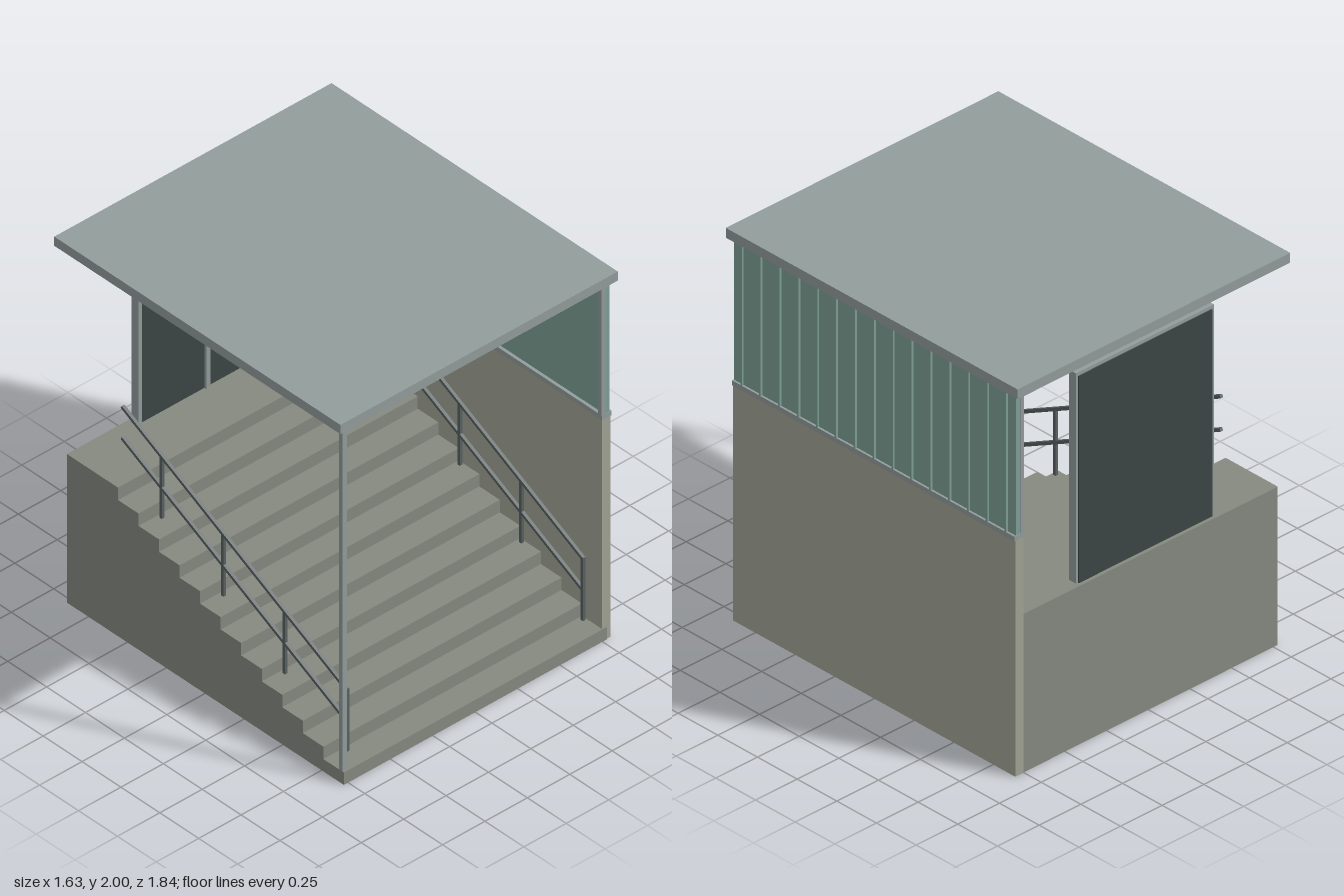
import * as THREE from 'three';

const mat = (color) => new THREE.MeshStandardMaterial({ color });

export function createModel() {
  const model = new THREE.Group();
  const steel = mat(0x929d9b), concrete = mat(0x868980), plaster = mat(0xa1a394);
  const cladding = mat(0x7f9f95), glass = mat(0x3b4644), railMat = mat(0x586161);

  // Box from its lower and upper corners
  const box = (name, [x0, y0, z0], [x1, y1, z1], material, parent = model) => {
    const mesh = new THREE.Mesh(new THREE.BoxGeometry(x1 - x0, y1 - y0, z1 - z0), material);
    mesh.position.set((x0 + x1) / 2, (y0 + y1) / 2, (z0 + z1) / 2);
    mesh.name = name;
    parent.add(mesh);
    return mesh;
  };

  // Stairs and landing: stepped side profile extruded across the width
  const steps = 12, rise = 0.81 / steps, run = 0.132, front = 0.893, back = -0.888;
  const profile = new THREE.Shape();
  profile.moveTo(back, 0);
  profile.lineTo(front, 0);
  for (let i = 0; i < steps; i++) {
    const z = front - i * run;
    profile.lineTo(z, (i + 1) * rise);
    profile.lineTo(i < steps - 1 ? z - run : back, (i + 1) * rise);
  }
  const stairGeo = new THREE.ExtrudeGeometry(profile, { depth: 1.55, bevelEnabled: false });
  stairGeo.rotateY(-Math.PI / 2).translate(0.775, 0, 0);
  const stairs = new THREE.Mesh(stairGeo, concrete);
  stairs.name = 'stairs';
  model.add(stairs);

  // Roof slab
  box('roof', [-0.82, 1.95, -0.92], [0.815, 2, 0.92], steel);

  // Side wall, ledge and ribbed cladding above it
  box('sideWall', [0.75, 0, -0.89], [0.8, 1.205, 0.89], plaster);
  box('wallLedge', [0.75, 1.205, -0.89], [0.806, 1.23, 0.89], steel);
  box('claddingPanel', [0.766, 1.23, -0.888], [0.795, 1.95, 0.888], cladding);
  for (let i = -7; i <= 7; i++) {
    const z = i * 0.119;
    box('claddingRib', [0.79, 1.23, z - 0.005], [0.806, 1.95, z + 0.005], cladding);
  }

  // Roof posts
  box('frontPost', [-0.775, rise, 0.86], [-0.75, 1.95, 0.885], steel);
  for (const z of [0.865, -0.89])
    box('wallPost', [0.748, 1.23, z], [0.77, 1.95, z + 0.025], steel);

  // Double door standing on the landing
  const door = new THREE.Group();
  door.name = 'door';
  model.add(door);
  const z0 = -0.865, z1 = -0.82;
  for (const x of [-0.415, 0.39])
    box('doorJamb', [x, 0.81, z0], [x + 0.022, 1.885, z1], steel, door);
  box('doorHead', [-0.393, 1.863, z0], [0.39, 1.885, z1], steel, door);
  box('doorMullion', [-0.013, 0.81, z0 + 0.02], [0.01, 1.863, z1], steel, door);
  box('doorPanel', [-0.4, 0.81, z0 - 0.005], [0.4, 1.868, z1 - 0.015], glass, door);

  // Handrails: four posts and two sloping bars on each side
  const t = 0.016, slope = rise / run, zStart = 0.828, zEnd = -0.615;
  const length = (zStart - zEnd) * Math.hypot(1, slope);
  for (const x of [-0.697, 0.697]) {
    const rail = new THREE.Group();
    rail.name = 'handrail';
    model.add(rail);
    for (let i = 0; i < 4; i++) {
      const z = 0.826 - i * 3 * run, y = 0.11 + i * 3 * rise;
      box('railPost', [x - t / 2, y, z - t / 2], [x + t / 2, y + 0.34, z + t / 2], railMat, rail);
    }
    for (const y of [0.275, 0.445]) {
      const bar = new THREE.Mesh(new THREE.BoxGeometry(t, t, length), railMat);
      bar.position.set(x, y + slope * (zStart - zEnd) / 2, (zStart + zEnd) / 2);
      bar.rotation.x = Math.atan(slope);
      bar.name = 'railBar';
      rail.add(bar);
    }
  }
  return model;
}
